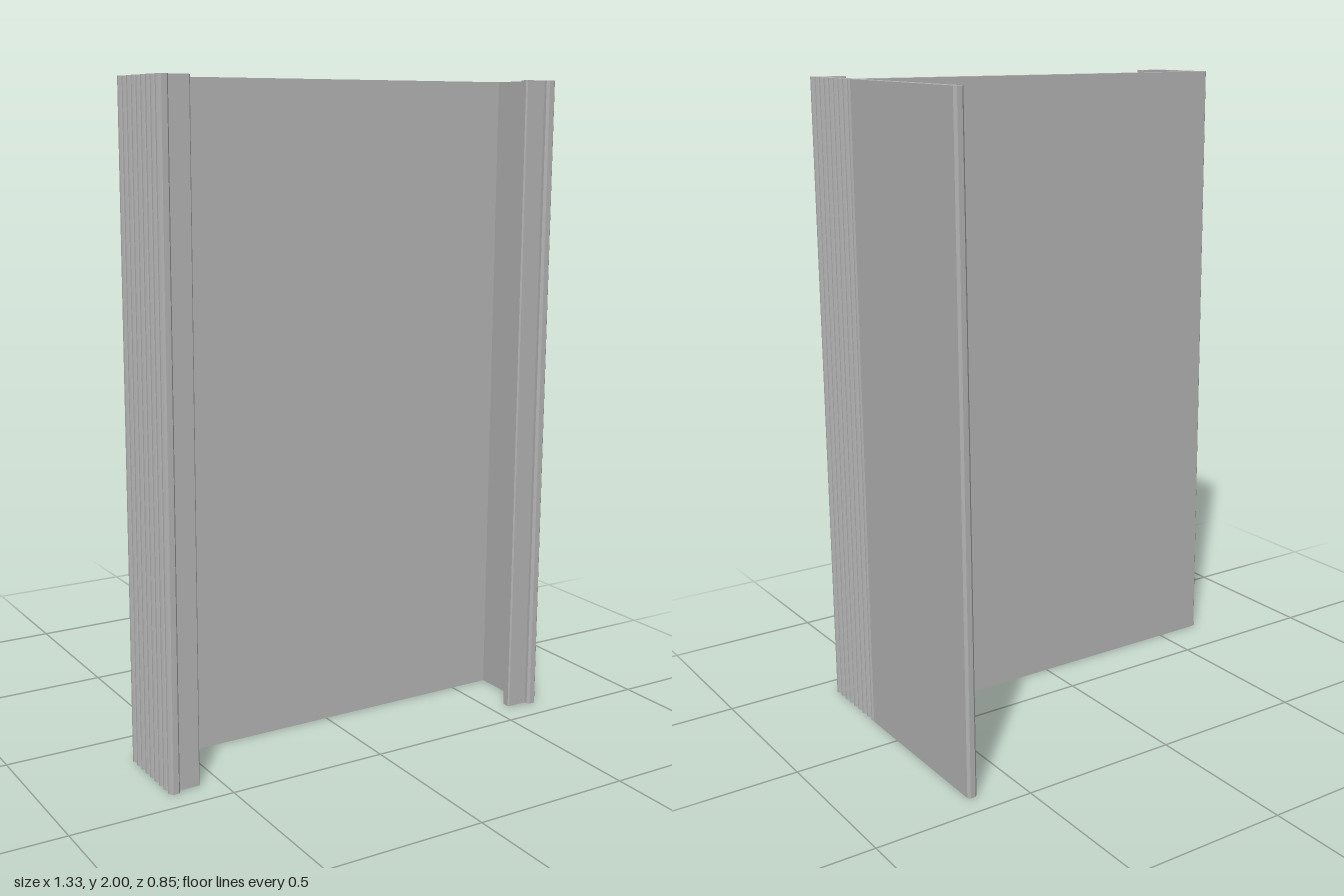
import * as THREE from 'three';

const HEIGHT = 2;

export function createModel() {
  const group = new THREE.Group();
  group.name = 'channelProfile';
  const grey = new THREE.MeshStandardMaterial({ color: 0xb2b2b2 });
  grey.name = 'grey';

  // Extrudes a plan outline of [x, z] points upward from y = 0
  function addPart(name, points) {
    const shape = new THREE.Shape(points.map(([x, z]) => new THREE.Vector2(x, -z)));
    const geometry = new THREE.ExtrudeGeometry(shape, { depth: HEIGHT, bevelEnabled: false });
    geometry.rotateX(-Math.PI / 2);
    const mesh = new THREE.Mesh(geometry, grey);
    mesh.name = name;
    group.add(mesh);
  }

  // Outer face of a side wall: a row of small rounded ridges from back to front
  function ridges(side, zBack, zFront, count = 9, steps = 5) {
    const points = [];
    const pitch = (zFront - zBack) / count;
    for (let i = 0; i < count; i++) {
      for (let k = i === 0 ? 0 : 1; k <= steps; k++) {
        const t = k / steps;
        points.push([side * (0.655 + 0.01 * Math.sin(Math.PI * t)), zBack + (i + t) * pitch]);
      }
    }
    return points;
  }

  // Back panel joining the two side walls
  addPart('backPanel', [[-0.632, 0.154], [0.632, 0.154], [0.632, 0.188], [-0.632, 0.188]]);

  // Left side wall (model's left is +x), ridged outside, flat inside
  addPart('leftWall', [
    ...ridges(1, 0.154, 0.427),
    [0.637, 0.427], [0.63, 0.42], [0.63, 0.154],
  ]);

  // Right side wall, with a shallow relief behind the inner step
  addPart('rightWall', [
    ...ridges(-1, 0.154, 0.427),
    [-0.638, 0.427], [-0.632, 0.42], [-0.632, 0.225], [-0.638, 0.218],
    [-0.638, 0.194], [-0.632, 0.188], [-0.632, 0.154],
  ]);

  // Inward lips at the front of both walls
  for (const [name, s] of [['leftLip', 1], ['rightLip', -1]]) {
    addPart(name, [
      [s * 0.631, 0.38], [s * 0.566, 0.38], [s * 0.562, 0.384],
      [s * 0.562, 0.406], [s * 0.566, 0.41], [s * 0.631, 0.41],
    ]);
  }

  // Long flange running backward from the left wall, with a softened end
  addPart('rearFlange', [
    [0.633, 0.154], [0.633, -0.419], [0.641, -0.427],
    [0.657, -0.427], [0.664, -0.419], [0.664, 0.154],
  ]);

  return group;
}
